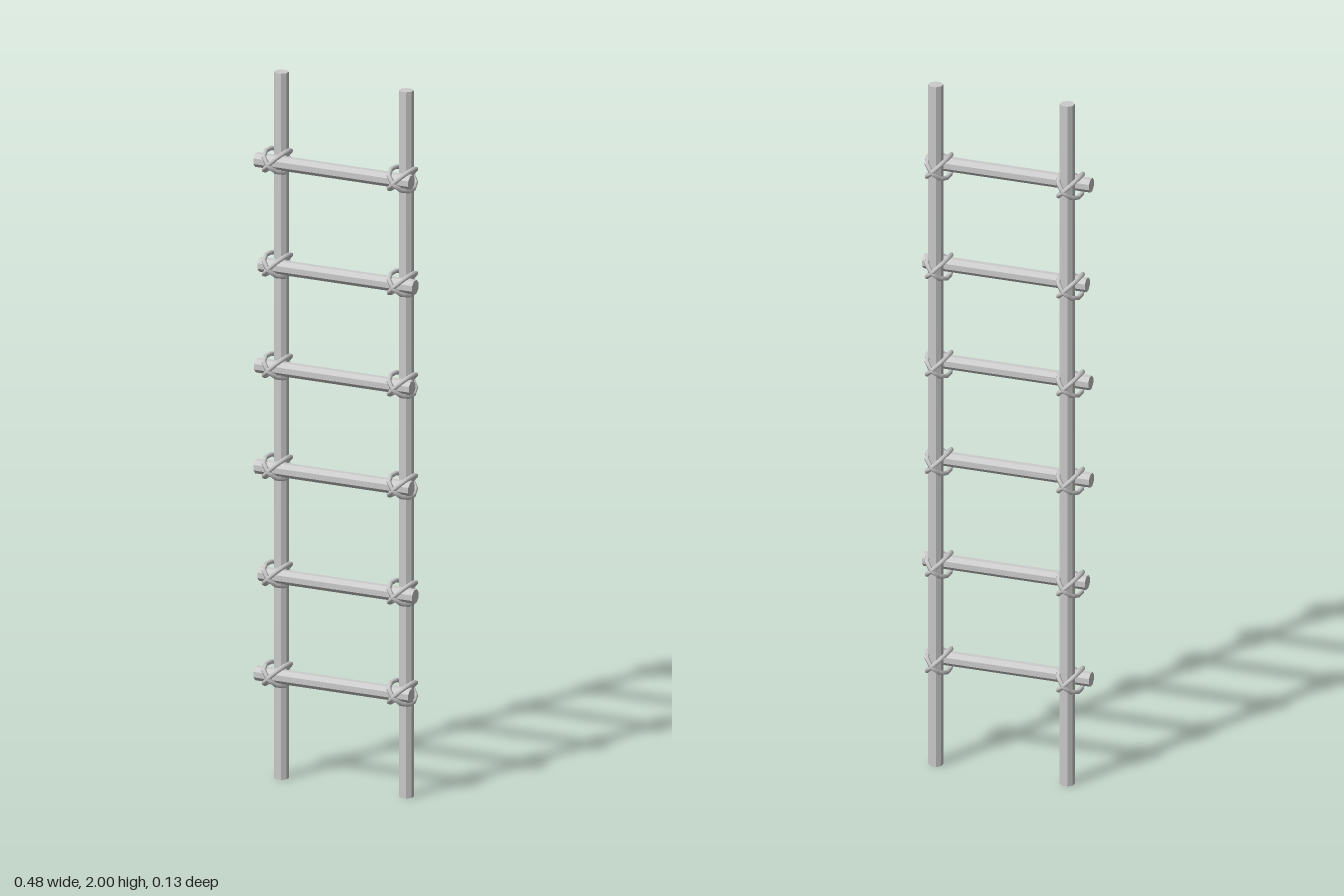
import * as THREE from 'three';

const SIDES = 8;
const POLE_X = 0.191;
const RADIUS = 0.0205;

// Eight-sided stick along y, with flat faces towards the axes
function stick(length) {
  return new THREE.CylinderGeometry(RADIUS, RADIUS, length, SIDES).rotateY(Math.PI / SIDES);
}

// Oval rope loop lying in the plane of z and a diagonal of x and y
function loopGeometry(angle) {
  const points = [];
  for (let i = 0; i < 10; i++) {
    const t = (i / 10) * Math.PI * 2;
    const across = 0.04 * Math.sin(t);
    points.push(new THREE.Vector3(across * Math.cos(angle), across * Math.sin(angle), 0.058 * Math.cos(t)));
  }
  const path = new THREE.CatmullRomCurve3(points, true);
  return new THREE.TubeGeometry(path, 10, 0.0065, 6, true);
}

export function createModel() {
  const ladder = new THREE.Group();
  ladder.name = 'ladder';
  const wood = new THREE.MeshStandardMaterial({ color: 0xcccccc, flatShading: true });
  const rope = new THREE.MeshStandardMaterial({ color: 0xcccccc });

  const add = (parent, geometry, material, name, x, y, z) => {
    const mesh = new THREE.Mesh(geometry, material);
    mesh.name = name;
    mesh.position.set(x, y, z);
    parent.add(mesh);
  };

  // Upright poles
  const poleGeometry = stick(2);
  add(ladder, poleGeometry, wood, 'leftPole', POLE_X + 0.002, 1, -0.02);
  add(ladder, poleGeometry, wood, 'rightPole', -POLE_X + 0.002, 1, -0.02);

  // Rungs sit in front of the poles, some shifted slightly sideways
  const rungGeometry = stick(0.473).rotateZ(Math.PI / 2);
  const rungs = [
    [0.3, -0.008], [0.583, 0.004], [0.886, -0.008],
    [1.172, -0.006], [1.459, 0.004], [1.754, -0.008],
  ];
  const loops = [loopGeometry(Math.PI / 4), loopGeometry(-Math.PI / 4)];

  rungs.forEach(([y, shift], i) => {
    add(ladder, rungGeometry, wood, `rung${i + 1}`, shift, y, 0.019);

    // Crossed rope lashings at both joints
    for (const side of [-1, 1]) {
      const lashing = new THREE.Group();
      lashing.name = `${side > 0 ? 'left' : 'right'}Lashing${i + 1}`;
      lashing.position.set(side * POLE_X, y, 0);
      loops.forEach((g, k) => add(lashing, g, rope, `ropeLoop${k + 1}`, 0, 0, 0));
      ladder.add(lashing);
    }
  });

  return ladder;
}
